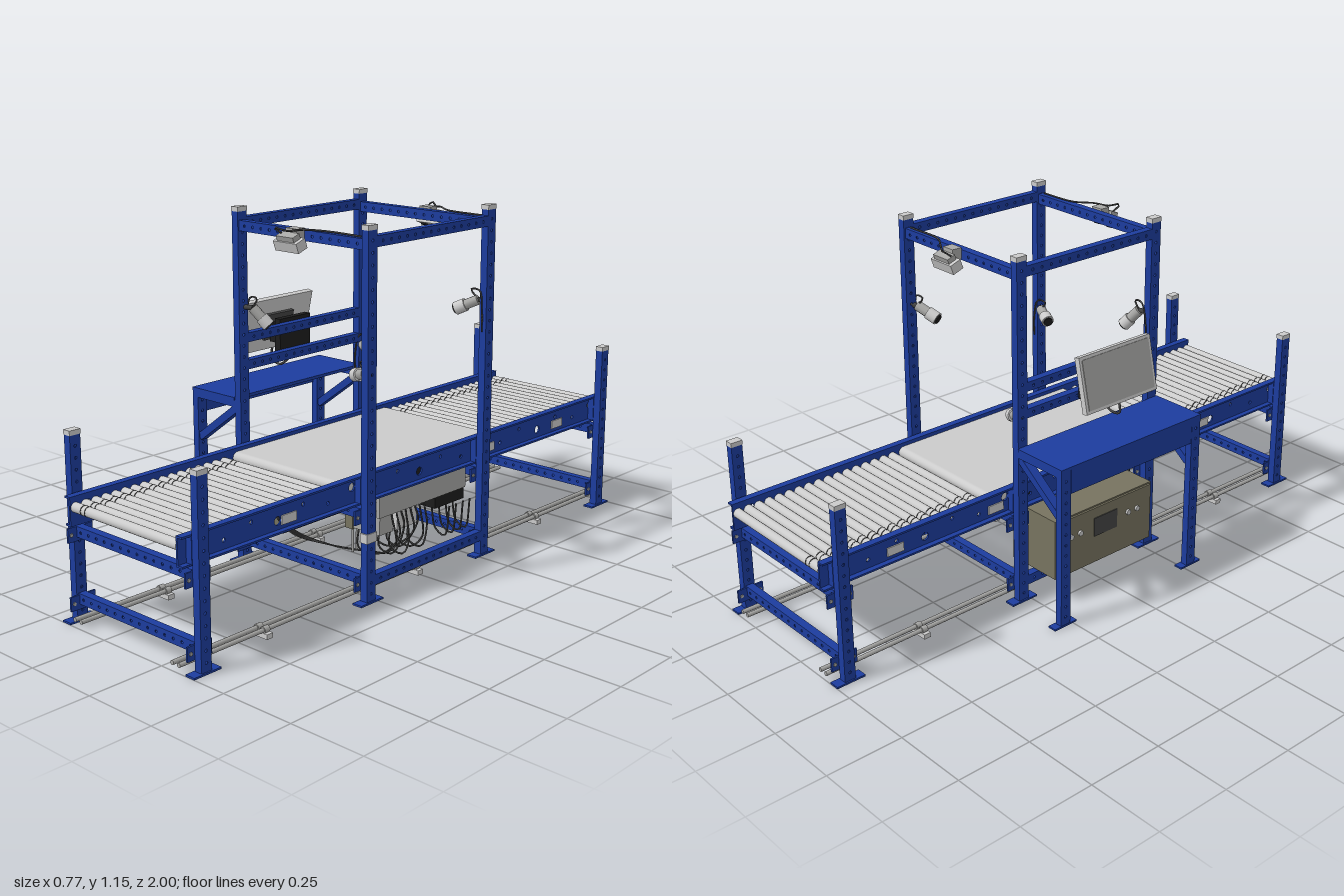
import * as THREE from 'three';
import { mergeGeometries } from 'three/addons/utils/BufferGeometryUtils.js';

const mat = (color) => new THREE.MeshStandardMaterial({ color });
const BLUE = mat(0x1c3c9e), GREY = mat(0xcccccc), STEEL = mat(0xa8a8a6), BLACK = mat(0x1c1c1c), OLIVE = mat(0x77735f);
const DARK = mat(0x444444);
const V = (x, y, z) => new THREE.Vector3(x, y, z);
const POST_X = [-0.173, 0.367], FRAME_Z = 0.278, END_Z = 0.95;

export function createModel() {
  const model = new THREE.Group();

  const add = (name, geo, material, x = 0, y = 0, z = 0, parent = model) => {
    const m = new THREE.Mesh(geo, material);
    m.name = name;
    m.position.set(x, y, z);
    parent.add(m);
    return m;
  };
  // box given by its min and max corners
  const box = (name, material, x0, x1, y0, y1, z0, z1, parent) =>
    add(name, new THREE.BoxGeometry(x1 - x0, y1 - y0, z1 - z0), material,
      (x0 + x1) / 2, (y0 + y1) / 2, (z0 + z1) / 2, parent);
  const tube = (name, pts, r, material = DARK, seg = 20) =>
    add(name, new THREE.TubeGeometry(new THREE.CatmullRomCurve3(pts.map((p) => V(...p))), seg, r, 6), material);
  // round bar between two points
  const rod = (name, a, b, r, material, sides = 12, parent = model) => {
    const d = b.clone().sub(a), c = a.clone().add(b).multiplyScalar(0.5);
    const m = add(name, new THREE.CylinderGeometry(r, r, d.length(), sides), material, c.x, c.y, c.z, parent);
    m.quaternion.setFromUnitVectors(V(0, 1, 0), d.normalize());
    return m;
  };

  // plate with holes: length along y, width along z, normal along x
  const plate = (len, width, thick, holes) => {
    const w = width / 2, l = len / 2, s = new THREE.Shape();
    s.moveTo(-w, -l).lineTo(w, -l).lineTo(w, l).lineTo(-w, l).closePath();
    for (const [u, v, r] of holes) s.holes.push(new THREE.Path().absarc(u, v, r, 0, Math.PI * 2, true));
    return new THREE.ExtrudeGeometry(s, { depth: thick, bevelEnabled: false, curveSegments: 8 })
      .translate(0, 0, -thick / 2).rotateY(Math.PI / 2);
  };
  // hollow perforated strut, centred, running along the given axis
  const strut = (name, axis, len, width, depth, x, y, z) => {
    const t = 0.003, holes = [], n = Math.floor(len / 0.036);
    for (let i = 0; i < n; i++) holes.push([0, (i - (n - 1) / 2) * 0.036, 0.0045]);
    const parts = [];
    for (const s of [-1, 1]) {
      parts.push(plate(len, width, t, holes).translate(s * (depth - t) / 2, 0, 0));
      parts.push(new THREE.BoxGeometry(depth - 2 * t, len, t).toNonIndexed().translate(0, 0, s * (width - t) / 2));
    }
    const g = mergeGeometries(parts);
    if (axis === 'z') g.rotateX(Math.PI / 2);
    if (axis === 'x') g.applyMatrix4(new THREE.Matrix4().makeBasis(V(0, 0, 1), V(1, 0, 0), V(0, 1, 0)));
    return add(name, g, BLUE, x, y, z);
  };

  // posts with caps, feet and bracket plates
  for (const x of POST_X) for (const sz of [-1, 1]) {
    for (const [z, h] of [[FRAME_Z * sz, 1.14], [END_Z * sz, 0.57]]) {
      strut('post', 'y', h, 0.038, 0.026, x, h / 2, z);
      add('postCap', new THREE.BoxGeometry(0.028, 0.015, 0.04), GREY, x, h + 0.0075, z);
      add('footPlate', new THREE.BoxGeometry(0.036, 0.006, 0.1), BLUE, x, 0.003, z);
      const inner = x - Math.sign(x) * 0.016;
      for (const y of [0.062, 0.275]) {
        add('bracketPlate', new THREE.BoxGeometry(0.006, 0.045, 0.09), BLUE, inner, y, z);
        for (const dz of [-0.033, 0.033])
          rod('bolt', V(inner - 0.006, y, z + dz), V(inner + 0.006, y, z + dz), 0.006, STEEL, 6);
      }
    }
  }

  // cross beams
  const midX = (POST_X[0] + POST_X[1]) / 2, spanX = POST_X[1] - POST_X[0] - 0.026;
  for (const s of [-1, 1]) {
    for (const z of [FRAME_Z * s, END_Z * s])
      for (const y of [0.072, 0.281]) strut('crossBeam', 'x', spanX, 0.033, 0.026, midX, y, z);
    strut('topCrossBeam', 'x', spanX, 0.033, 0.026, midX, 1.097, FRAME_Z * s);
  }
  for (const x of POST_X) {
    strut('topSideBeam', 'z', 0.518, 0.033, 0.026, x, 1.105, 0);
    strut('lowerSideBeam', 'z', 0.518, 0.033, 0.026, x, 0.07, 0);
  }
  for (const y of [0.738, 0.65]) strut('screenBeam', 'z', 0.518, 0.03, 0.026, POST_X[0], y, 0);

  // conveyor side rails: outward channels with large holes
  for (const [x, s] of [[-0.134, -1], [0.328, 1]]) {
    const holes = [];
    for (let i = -9; i <= 9; i++) holes.push([i % 2 ? 0.012 : -0.012, i * 0.104, i % 3 ? 0.006 : 0.013]);
    add('sideRail', plate(2, 0.09, 0.006, holes).rotateX(Math.PI / 2), BLUE, x, 0.355, 0);
    for (const y of [0.313, 0.397]) add('railFlange', new THREE.BoxGeometry(0.022, 0.006, 2), BLUE, x + s * 0.01, y, 0);
    for (const z of [0.58, -0.35, -0.735])
      add('railPlate', new THREE.BoxGeometry(0.004, 0.028, 0.06), GREY, x + s * 0.005, 0.342, z);
    for (const z of [-END_Z, -FRAME_Z, FRAME_Z, END_Z])
      add('railMount', new THREE.BoxGeometry(0.024, 0.08, 0.04), BLUE, x + s * 0.013, 0.355, z);
  }

  // rollers at both ends with drive bands near the right rail
  for (const s of [-1, 1]) {
    for (let i = 0; i < 17; i++) {
      const z = s * (0.405 + i * 0.0362);
      rod('roller', V(-0.128, 0.368, z), V(0.322, 0.368, z), 0.0155, GREY, 16);
      for (const x of [-0.085, -0.066]) rod('bandGroove', V(x - 0.002, 0.368, z), V(x + 0.002, 0.368, z), 0.0162, DARK, 16);
    }
    for (const x of [-0.1, 0.285]) box('rollerBand', DARK, x - 0.003, x + 0.003, 0.35, 0.356, s > 0 ? 0.4 : -0.98, s > 0 ? 0.98 : -0.4);
  }

  // centre belt loop with drive housing under it
  const r = 0.018, bz = 0.352, loop = new THREE.Shape();
  loop.moveTo(-bz, -r).lineTo(bz, -r).absarc(bz, 0, r, -Math.PI / 2, Math.PI / 2, false);
  loop.lineTo(-bz, r).absarc(-bz, 0, r, Math.PI / 2, Math.PI * 1.5, false);
  add('belt', new THREE.ExtrudeGeometry(loop, { depth: 0.45, bevelEnabled: false }).rotateY(-Math.PI / 2),
    GREY, 0.322, 0.371, -0.006);
  box('beltBed', BLACK, -0.128, 0.322, 0.302, 0.352, -0.24, 0.24);

  // floor pipes in pairs on clamps
  for (const pair of [[-0.133, -0.105], [0.295, 0.322]]) {
    for (const x of pair) rod('floorPipe', V(x, 0.024, -1), V(x, 0.024, 1), 0.007, STEEL);
    const c = (pair[0] + pair[1]) / 2;
    for (const z of [-0.64, 0, 0.67]) {
      box('pipeClampBase', GREY, c - 0.033, c + 0.033, 0, 0.016, z - 0.012, z + 0.012);
      for (const x of pair) rod('pipeClamp', V(x, 0.024, z - 0.01), V(x, 0.024, z + 0.01), 0.011, STEEL);
    }
  }

  // side desk with skirt, legs and braces
  box('deskTop', BLUE, -0.385, -0.187, 0.535, 0.545, -0.3, 0.3);
  box('deskSkirt', BLUE, -0.384, -0.378, 0.455, 0.54, -0.26, 0.26);
  for (const s of [-1, 1]) {
    const z = 0.28 * s;
    strut('deskLeg', 'y', 0.535, 0.038, 0.024, -0.372, 0.2675, z);
    add('deskFoot', new THREE.BoxGeometry(0.03, 0.006, 0.09), BLUE, -0.37, 0.003, z);
    add('deskArm', new THREE.BoxGeometry(0.18, 0.024, 0.036), BLUE, -0.276, 0.525, z);
    const brace = add('deskBrace', new THREE.BoxGeometry(0.22, 0.024, 0.03), BLUE, -0.272, 0.445, z);
    brace.rotation.z = Math.atan2(0.13, 0.175);
  }

  // tilted screen on an arm
  const screen = new THREE.Group();
  screen.name = 'screen';
  screen.position.set(-0.283, 0.733, 0.02);
  screen.rotation.z = -0.22;
  model.add(screen);
  box('screenBody', GREY, -0.01, 0.01, -0.09, 0.09, -0.15, 0.15, screen);
  box('screenFace', STEEL, -0.012, -0.01, -0.08, 0.08, -0.14, 0.14, screen);
  box('screenBack', DARK, 0.01, 0.022, -0.05, 0.04, -0.06, 0.06, screen);
  box('screenMount', BLACK, -0.212, -0.188, 0.64, 0.765, -0.05, 0.09);
  box('screenHinge', BLACK, -0.265, -0.235, 0.675, 0.74, -0.02, 0.06);
  for (const y of [0.68, 0.71, 0.735]) rod('mountArm', V(-0.25, y, 0.02), V(-0.2, y, 0.02), 0.012, BLACK);
  tube('screenCable', [[-0.295, 0.65, 0.02], [-0.3, 0.61, 0.02], [-0.25, 0.595, 0.03], [-0.2, 0.63, 0.03]], 0.004);

  // control cabinet
  box('cabinet', OLIVE, -0.268, -0.075, 0.09, 0.295, -0.22, 0.2);
  box('cabinetDoor', OLIVE, -0.275, -0.268, 0.095, 0.29, -0.213, 0.193);
  box('cabinetBack', BLACK, -0.075, -0.07, 0.09, 0.3, -0.222, 0.202);
  box('cabinetDisplay', DARK, -0.278, -0.275, 0.19, 0.255, -0.06, 0.04);
  for (const z of [-0.16, -0.12, 0.09, 0.13]) rod('cabinetButton', V(-0.282, 0.225, z), V(-0.275, 0.225, z), 0.009, GREY);

  // electrical boxes on the left side
  box('powerBox', GREY, 0.225, 0.335, 0.178, 0.285, 0.016, 0.11);
  box('switchBox', STEEL, 0.2, 0.335, 0.18, 0.258, 0.13, 0.19);
  box('switchFace', OLIVE, 0.195, 0.226, 0.176, 0.262, 0.126, 0.194);
  box('driveBox', BLACK, 0.22, 0.335, 0.2, 0.302, -0.22, -0.075);
  box('boxRail', STEEL, 0.33, 0.342, 0.24, 0.31, -0.22, 0.2);
  box('postSensor', GREY, 0.356, 0.383, 0.195, 0.225, 0.256, 0.302);
  for (let i = 0; i < 8; i++) {
    const z = 0.18 - i * 0.022, x = 0.24 + (i % 4) * 0.024;
    tube('boxCable', [[x, 0.18, z], [x + 0.008, 0.125, z + 0.012], [x + 0.035, 0.1, z - 0.02], [0.345, 0.13 + (i % 3) * 0.03, z - 0.05], [0.34, 0.24, z - 0.04]], 0.003);
  }
  for (let i = 0; i < 4; i++) {
    const z = -0.1 - i * 0.035;
    tube('driveCable', [[0.3, 0.2, z], [0.31, 0.12, z - 0.01], [0.34, 0.1, z - 0.02], [0.35, 0.2, z - 0.03]], 0.003);
    tube('cabinetCable', [[-0.16 + i * 0.012, 0.3, 0.21], [-0.13 + i * 0.015, 0.2, 0.215], [-0.03, 0.115 + i * 0.006, 0.22], [0.12, 0.094, 0.18], [0.3, 0.095, 0.12]], 0.0025);
  }
  for (const z of [0.15, 0.17]) rod('conduit', V(0.205, 0.09, z), V(0.205, 0.18, z), 0.004, STEEL);

  // overhead sensors on both top cross beams
  for (const s of [-1, 1]) {
    const head = new THREE.Group();
    head.name = 'overheadSensor';
    head.position.set(0.098, 1.075, s * 0.33);
    head.rotation.x = s * 0.35;
    model.add(head);
    box('sensorBody', GREY, -0.048, 0.048, -0.018, 0.014, -0.02, 0.02, head);
    box('sensorTop', STEEL, -0.035, 0.035, 0.014, 0.03, -0.015, 0.015, head);
    for (const x of [-0.028, 0.028]) rod('sensorLens', V(x, -0.023, 0), V(x, -0.015, 0), 0.012, BLACK, 12, head);
    box('sensorBracket', STEEL, 0.075, 0.12, 1.085, 1.12, s > 0 ? 0.29 : -0.325, s > 0 ? 0.325 : -0.29);
    tube('sensorCable', [[0.07, 1.1, s * 0.33], [0.065, 1.125, s * 0.365], [0.1, 1.115, s * 0.345], [0.14, 1.12, s * 0.32], [0.2, 1.118, s * 0.285], [0.34, 1.117, s * 0.28]], 0.003);
  }

  // side cameras on the tall posts, aimed inward and down
  const cams = [[-0.135, 0.838, 1, -0.092, 0.783], [-0.145, 0.63, -1, -0.085, 0.605],
    [0.345, 0.852, -1, 0.277, 0.818], [0.34, 0.708, 1, 0.273, 0.688]];
  for (const [x, y, s, tx, ty] of cams) {
    const post = POST_X[x > 0 ? 1 : 0], a = V(x, y, s * 0.262), b = V(tx, ty, s * 0.235), mid = a.clone().lerp(b, 0.55);
    rod('cameraBody', a, mid, 0.017, STEEL, 8);
    rod('cameraBarrel', mid, b, 0.021, GREY, 16);
    rod('cameraLens', b, b.clone().lerp(a, -0.06), 0.016, BLACK, 16);
    rod('cameraArm', V(post, y, s * 0.275), a, 0.008, DARK, 8);
    tube('cameraCable', [[x, y, s * 0.262], [x + (tx - x) * 0.4, y + 0.03, s * 0.26], [post + (x - post) * 0.6, y + 0.03, s * 0.258], [post, y - 0.04, s * 0.254], [post, y - 0.1, s * 0.255]], 0.003);
  }
  return model;
}
